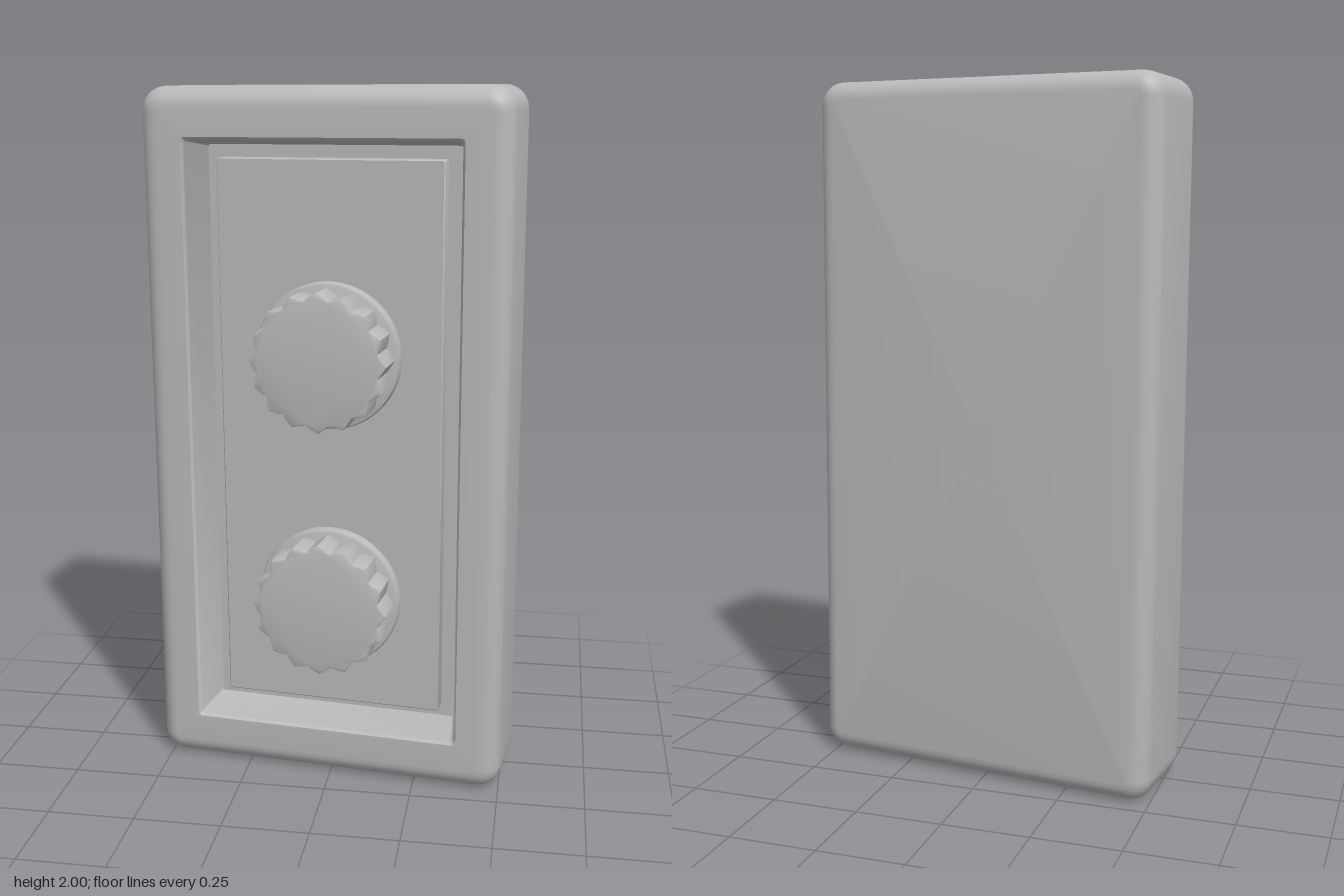
import * as THREE from 'three';
import { toCreasedNormals } from 'three/addons/utils/BufferGeometryUtils.js';

const CORNER_STEPS = 6;

// Rounded rectangle, counter-clockwise seen from the front
function ring(hw, hh, z, r) {
  const points = [];
  [[1, 1], [-1, 1], [-1, -1], [1, -1]].forEach(([sx, sy], q) => {
    for (let k = 0; k <= CORNER_STEPS; k++) {
      const a = (q + k / CORNER_STEPS) * Math.PI / 2;
      points.push([sx * (hw - r) + r * Math.cos(a), sy * (hh - r) + r * Math.sin(a), z]);
    }
  });
  return points;
}

// Skin joining successive rings
function loft(rings) {
  const n = rings[0].length;
  const index = [];
  for (let i = 0; i < rings.length - 1; i++) {
    for (let j = 0; j < n; j++) {
      const a = i * n + j, b = i * n + (j + 1) % n;
      index.push(a, b, b + n, a, b + n, a + n);
    }
  }
  const geometry = new THREE.BufferGeometry();
  geometry.setAttribute('position', new THREE.Float32BufferAttribute(rings.flat(2), 3));
  geometry.setIndex(index);
  return toCreasedNormals(geometry, 0.6);
}

// Casing with rounded outer edges and a tapered recess in its front
function casingGeometry() {
  const W = 0.52, H = 0.995, D = 0.16, R = 0.055, steps = 6;
  const rings = [ring(0, 0, -D, 0)];
  for (const side of [-1, 1]) {
    for (let k = 0; k <= steps; k++) {
      const a = (side < 0 ? k : steps - k) / steps * Math.PI / 2;
      const inset = R * (1 - Math.sin(a));
      rings.push(ring(W - inset, H - inset, side * (D - R + R * Math.cos(a)), R - inset + 0.012));
    }
  }
  rings.push(
    ring(0.395, 0.86, D, 0.012),
    ring(0.388, 0.853, D - 0.007, 0.01),
    ring(0.365, 0.835, 0.02, 0.008),
    ring(0, 0, 0.02, 0)
  );
  return loft(rings);
}

// Toothed grip of a knob
function gripGeometry() {
  const teeth = 16, per = 6;
  const points = [];
  for (let i = 0; i < teeth * per; i++) {
    const a = i / (teeth * per) * Math.PI * 2;
    const wave = Math.abs((i % per) / per * 2 - 1);
    const r = 0.172 + 0.02 * wave;
    points.push(new THREE.Vector2(r * Math.cos(a), r * Math.sin(a)));
  }
  const geometry = new THREE.ExtrudeGeometry(new THREE.Shape(points), {
    depth: 0.113, bevelThickness: 0.005, bevelSize: 0.004, bevelSegments: 2
  });
  return toCreasedNormals(geometry, 0.5);
}

// Round collar under the grip
function collarGeometry() {
  const profile = [[0.21, 0], [0.21, 0.022], [0.207, 0.029], [0.2, 0.032], [0, 0.032]];
  const geometry = new THREE.LatheGeometry(profile.map(([x, y]) => new THREE.Vector2(x, y)), 64);
  geometry.rotateX(Math.PI / 2);
  return toCreasedNormals(geometry, 0.6);
}

export function createModel() {
  const grey = new THREE.MeshStandardMaterial({ color: 0xb9b9b9 });
  grey.name = 'plain grey';
  const model = new THREE.Group();
  model.name = 'knobPanel';

  function add(parent, geometry, name, x = 0, y = 0, z = 0) {
    const mesh = new THREE.Mesh(geometry, grey);
    mesh.name = name;
    mesh.position.set(x, y, z);
    parent.add(mesh);
  }

  // The whole unit stands slightly turned and leaning
  const unit = new THREE.Group();
  unit.name = 'unit';
  unit.position.set(-0.003, 1, -0.005);
  unit.rotation.set(0.005, -0.115, 0.005);
  model.add(unit);

  add(unit, casingGeometry(), 'casing');

  // Raised plate inside the recess
  const plate = loft([
    ring(0.325, 0.8, 0.015, 0.006),
    ring(0.325, 0.8, 0.067, 0.006),
    ring(0.322, 0.797, 0.07, 0.004),
    ring(0, 0, 0.07, 0)
  ]);
  add(unit, plate, 'facePlate');

  // Two knobs
  const grip = gripGeometry(), collar = collarGeometry();
  for (const [name, y] of [['upperKnob', 0.255], ['lowerKnob', -0.465]]) {
    const knob = new THREE.Group();
    knob.name = name;
    knob.position.set(0, y, 0.07);
    add(knob, collar, 'knobCollar');
    add(knob, grip, 'knobGrip', 0, 0, 0.018);
    unit.add(knob);
  }
  return model;
}
